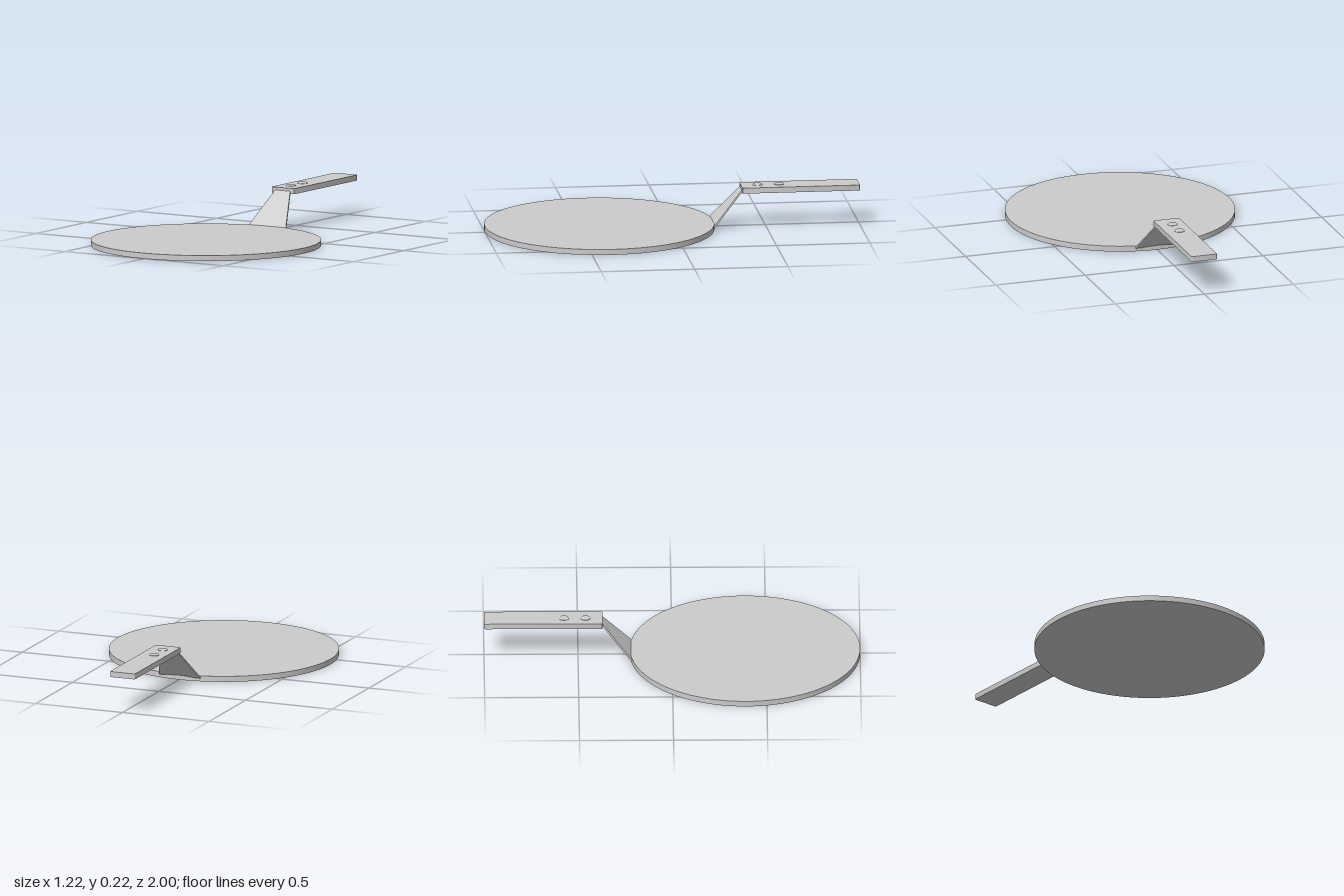
import * as THREE from 'three';
import { toCreasedNormals } from 'three/addons/utils/BufferGeometryUtils.js';

export function createModel() {
  const group = new THREE.Group();
  const material = new THREE.MeshStandardMaterial({ color: 0xcccccc });
  const add = (name, geometry, x, y, z) => {
    const mesh = new THREE.Mesh(geometry, material);
    mesh.name = name;
    mesh.position.set(x, y, z);
    group.add(mesh);
    return mesh;
  };

  // Round flat plate
  const radius = 0.612, thickness = 0.03, plateZ = 1 - radius;
  add('plate', new THREE.CylinderGeometry(radius, radius, thickness, 128), 0, thickness / 2, plateZ);

  // Thin tapered neck rising from the plate rim to the middle of the handle end
  const bottom = new THREE.Vector2(-0.215, 0.02), top = new THREE.Vector2(-0.374, 0.201);
  const length = bottom.distanceTo(top);
  const neckShape = new THREE.Shape([
    new THREE.Vector2(-0.119, 0), new THREE.Vector2(0.119, 0),
    new THREE.Vector2(0.047, length), new THREE.Vector2(-0.047, length),
  ]);
  const neckGeometry = new THREE.ExtrudeGeometry(neckShape, { depth: 0.008, bevelEnabled: false });
  neckGeometry.translate(0, 0, -0.004);
  const neck = add('neck', neckGeometry, 0, bottom.y, bottom.x);
  neck.rotation.x = -Math.atan2(bottom.x - top.x, top.y - bottom.y);

  // Flat handle bar with slightly rounded vertical corners
  const w = 0.072, z0 = 0.37, z1 = 1, r = 0.009;
  const bar = new THREE.Shape();
  bar.moveTo(-w + r, z0);
  bar.lineTo(w - r, z0);
  bar.quadraticCurveTo(w, z0, w, z0 + r);
  bar.lineTo(w, z1 - r);
  bar.quadraticCurveTo(w, z1, w - r, z1);
  bar.lineTo(-w + r, z1);
  bar.quadraticCurveTo(-w, z1, -w, z1 - r);
  bar.lineTo(-w, z0 + r);
  bar.quadraticCurveTo(-w, z0, -w + r, z0);
  const handleGeometry = new THREE.ExtrudeGeometry(bar, { depth: 0.03, bevelEnabled: false, curveSegments: 4 });
  handleGeometry.rotateX(-Math.PI / 2);
  add('handle', toCreasedNormals(handleGeometry, 0.6), 0, 0.188, 0);

  // Two low rivet heads with bevelled rims
  const rivetProfile = [[0.027, -0.004], [0.027, 0.002], [0.021, 0.006], [0, 0.007]]
    .map(([x, y]) => new THREE.Vector2(x, y));
  for (const z of [-0.46, -0.575]) {
    add('rivet', toCreasedNormals(new THREE.LatheGeometry(rivetProfile, 32), 0.5), -0.005, 0.218, z);
  }
  return group;
}
